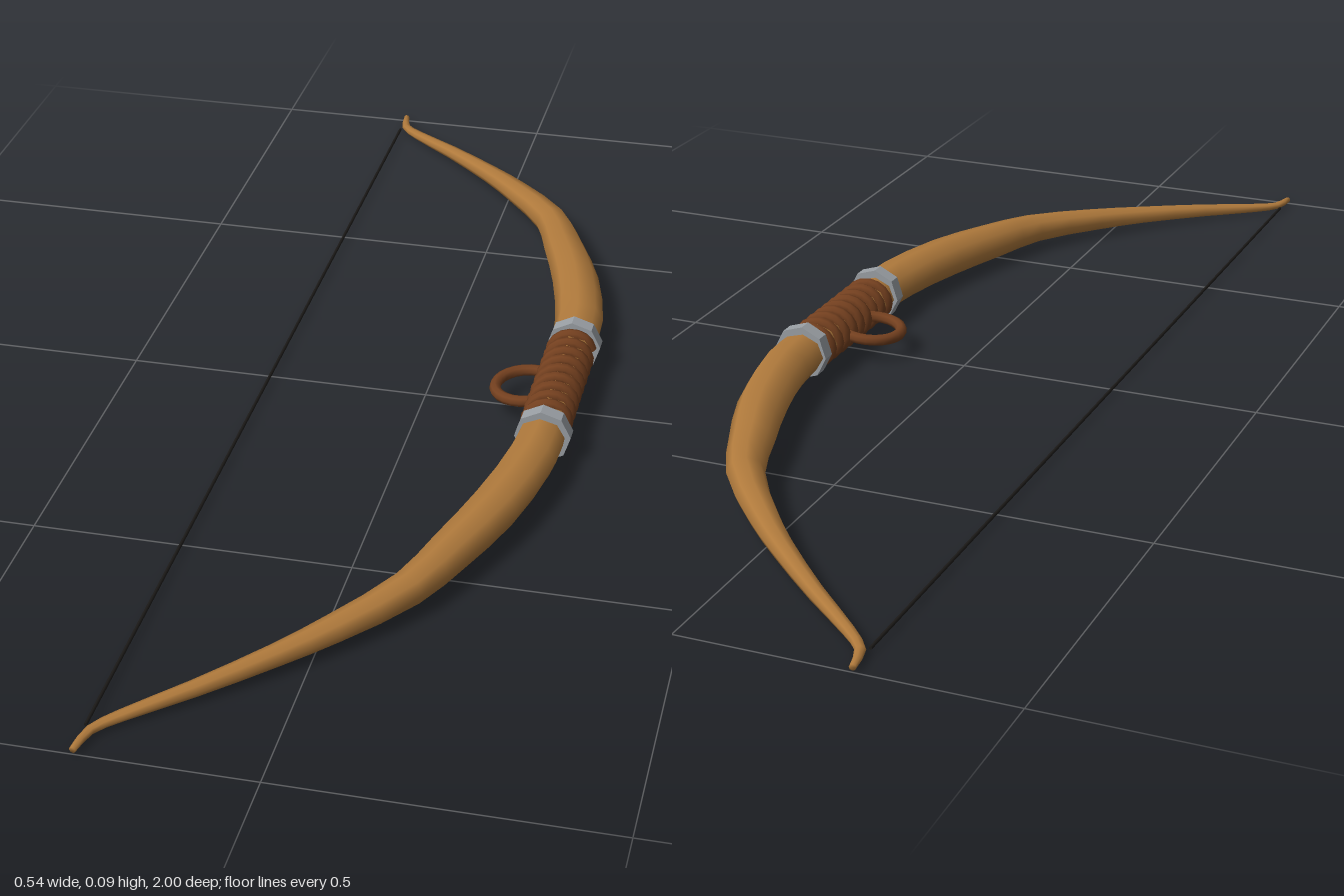
import * as THREE from 'three';

const mat = (name, color) => Object.assign(new THREE.MeshStandardMaterial({ color }), { name });

// Half of the stave: z, x, half depth (in the bow's plane), half height
const HALF = [
  [0, 0.222, 0.032, 0.030],
  [0.13, 0.222, 0.037, 0.033],
  [0.22, 0.218, 0.041, 0.034],
  [0.36, 0.188, 0.040, 0.034],
  [0.48, 0.146, 0.035, 0.031],
  [0.58, 0.105, 0.029, 0.026],
  [0.69, 0.020, 0.023, 0.020],
  [0.76, -0.045, 0.018, 0.016],
  [0.85, -0.140, 0.013, 0.012],
  [0.92, -0.222, 0.010, 0.008],
  [0.955, -0.254, 0.008, 0.006],
  [1.0, -0.264, 0.005, 0.005],
];

// Eight-sided loft along the mirrored stave curve, with closed tips
function staveGeometry() {
  const rows = [...HALF.slice(1).reverse().map(([z, ...r]) => [-z, ...r]), ...HALF];
  const path = new THREE.CatmullRomCurve3(rows.map(r => new THREE.Vector3(r[1], 0, r[0])));
  const size = new THREE.CatmullRomCurve3(rows.map(r => new THREE.Vector3(r[2], r[3], 0)));
  const steps = (rows.length - 1) * 2, sides = 8;
  const pos = [], index = [];
  for (let i = 0; i <= steps; i++) {
    const t = i / steps, p = path.getPoint(t), s = size.getPoint(t), d = path.getTangent(t);
    for (let j = 0; j < sides; j++) {
      const a = (j / sides) * Math.PI * 2, w = Math.cos(a) * s.x;
      pos.push(p.x + d.z * w, Math.sin(a) * s.y, p.z - d.x * w);
    }
  }
  for (let i = 0; i < steps; i++) {
    for (let j = 0; j < sides; j++) {
      const k = (j + 1) % sides, a = i * sides + j, b = i * sides + k;
      index.push(a, b, a + sides, b, b + sides, a + sides);
    }
  }
  const last = steps * sides;
  for (let j = 1; j < sides - 1; j++) {
    index.push(0, j + 1, j, last, last + j, last + j + 1);
  }
  const geo = new THREE.BufferGeometry();
  geo.setAttribute('position', new THREE.Float32BufferAttribute(pos, 3));
  geo.setIndex(index);
  geo.computeVertexNormals();
  return geo;
}

export function createModel() {
  const wood = mat('wood', 0xb07a3c);
  const leather = mat('leather', 0x74401f);
  const metal = mat('metal', 0x9a9fa4);
  metal.flatShading = true;
  const cord = mat('cord', 0x1c1a18);

  const model = new THREE.Group();
  model.name = 'bow';
  const bow = new THREE.Group(); // lies flat, tipped up towards the grip
  bow.name = 'tiltedBow';
  bow.rotation.z = 0.078;
  bow.position.y = 0.029;
  model.add(bow);

  const add = (name, geo, material, x = 0, y = 0, z = 0) => {
    const mesh = new THREE.Mesh(geo, material);
    mesh.name = name;
    mesh.position.set(x, y, z);
    bow.add(mesh);
    return mesh;
  };

  add('stave', staveGeometry(), wood);

  // Leather cord wound round the grip
  const turns = 9, winding = [];
  for (let i = 0; i <= turns * 12; i++) {
    const a = (i / 12) * Math.PI * 2;
    winding.push(new THREE.Vector3(Math.cos(a) * 0.033, Math.sin(a) * 0.031, (i / (turns * 12) - 0.5) * 0.25));
  }
  add('gripWrap', new THREE.TubeGeometry(new THREE.CatmullRomCurve3(winding), turns * 16, 0.0095, 8), leather, 0.222);

  // Metal collars at both ends of the grip
  for (const side of [-1, 1]) {
    const collar = add(side > 0 ? 'frontCollar' : 'backCollar',
      new THREE.CylinderGeometry(0.0455, 0.0455, 0.024, 8), metal, 0.224, 0, side * 0.142);
    collar.rotation.set(Math.PI / 2, Math.PI / 2, 0);
  }

  // Leather loop on the string side of the grip
  const loop = add('gripLoop', new THREE.TorusGeometry(0.05, 0.0095, 8, 24), leather, 0.168);
  loop.rotation.x = Math.PI / 2;

  // Bowstring
  const string = add('bowstring', new THREE.CylinderGeometry(0.0025, 0.0025, 1.89, 6), cord, -0.264);
  string.rotation.x = Math.PI / 2;

  return model;
}
